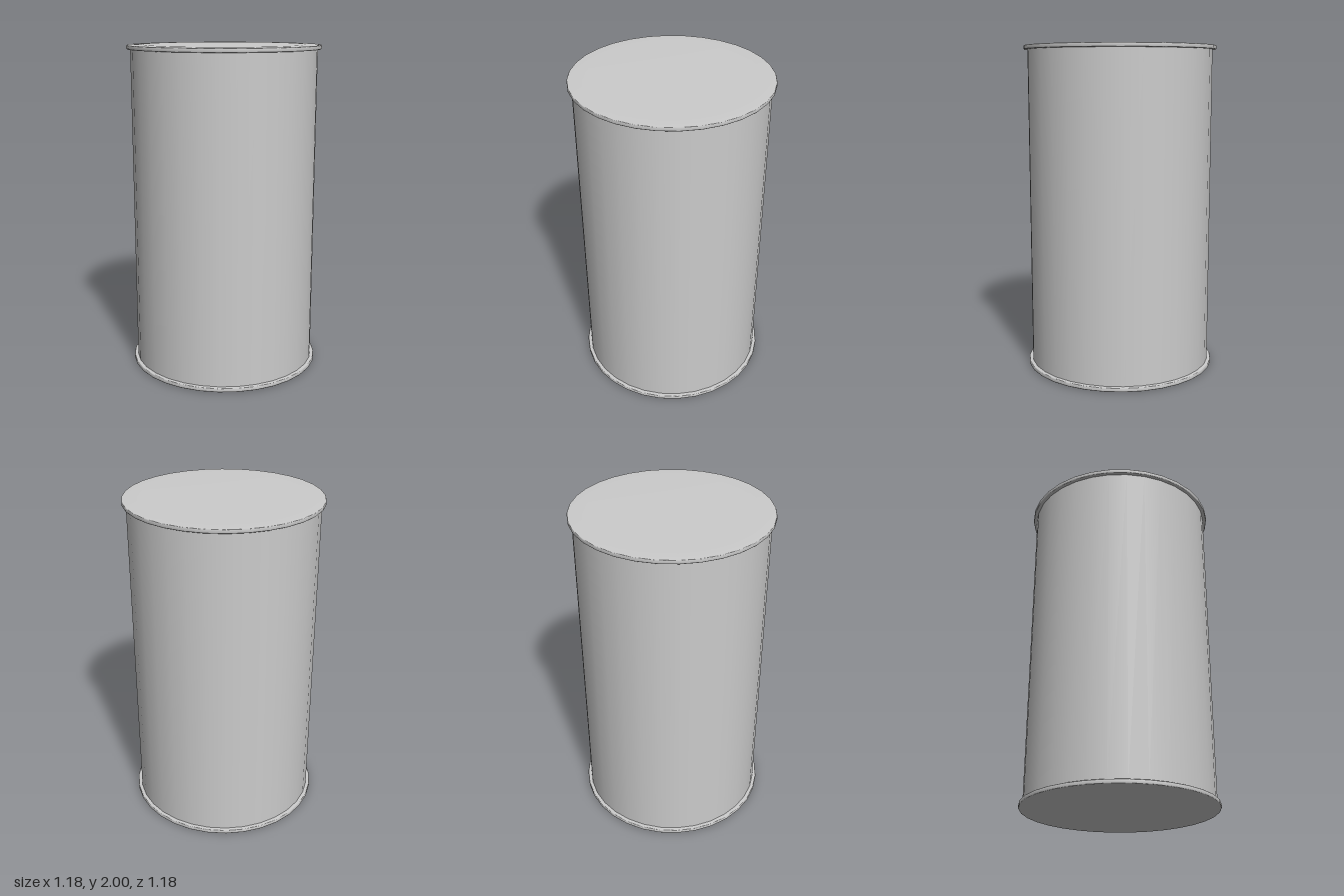
import * as THREE from 'three';

const SIDES = 32;
const BODY_RADIUS = 0.565;
const LID_RADIUS = 0.588;
const LID_HEIGHT = 0.027;

export function createModel() {
  const group = new THREE.Group();
  group.name = 'can';
  const material = new THREE.MeshStandardMaterial({ color: 0xcccccc });

  // Straight side wall, running between the two lids
  const wall = new THREE.CylinderGeometry(BODY_RADIUS, BODY_RADIUS, 2 - LID_HEIGHT, SIDES, 1, true);
  const body = new THREE.Mesh(wall, material);
  body.name = 'body';
  body.position.y = 1;
  group.add(body);

  // Thin overhanging lid: flat centre with a softly shaded rim
  const profile = [
    [0, 0],
    [0.49, 0],
    [LID_RADIUS - 0.003, 0.002],
    [LID_RADIUS, 0.006],
    [LID_RADIUS, LID_HEIGHT - 0.004],
    [LID_RADIUS - 0.004, LID_HEIGHT],
    [BODY_RADIUS - 0.01, LID_HEIGHT],
  ].map(([r, y]) => new THREE.Vector2(r, y));
  const lidGeometry = new THREE.LatheGeometry(profile, SIDES);

  const bottomLid = new THREE.Mesh(lidGeometry, material);
  bottomLid.name = 'bottomLid';
  group.add(bottomLid);

  const topLid = new THREE.Mesh(lidGeometry, material);
  topLid.name = 'topLid';
  topLid.rotation.x = Math.PI;
  topLid.position.y = 2;
  group.add(topLid);

  return group;
}
